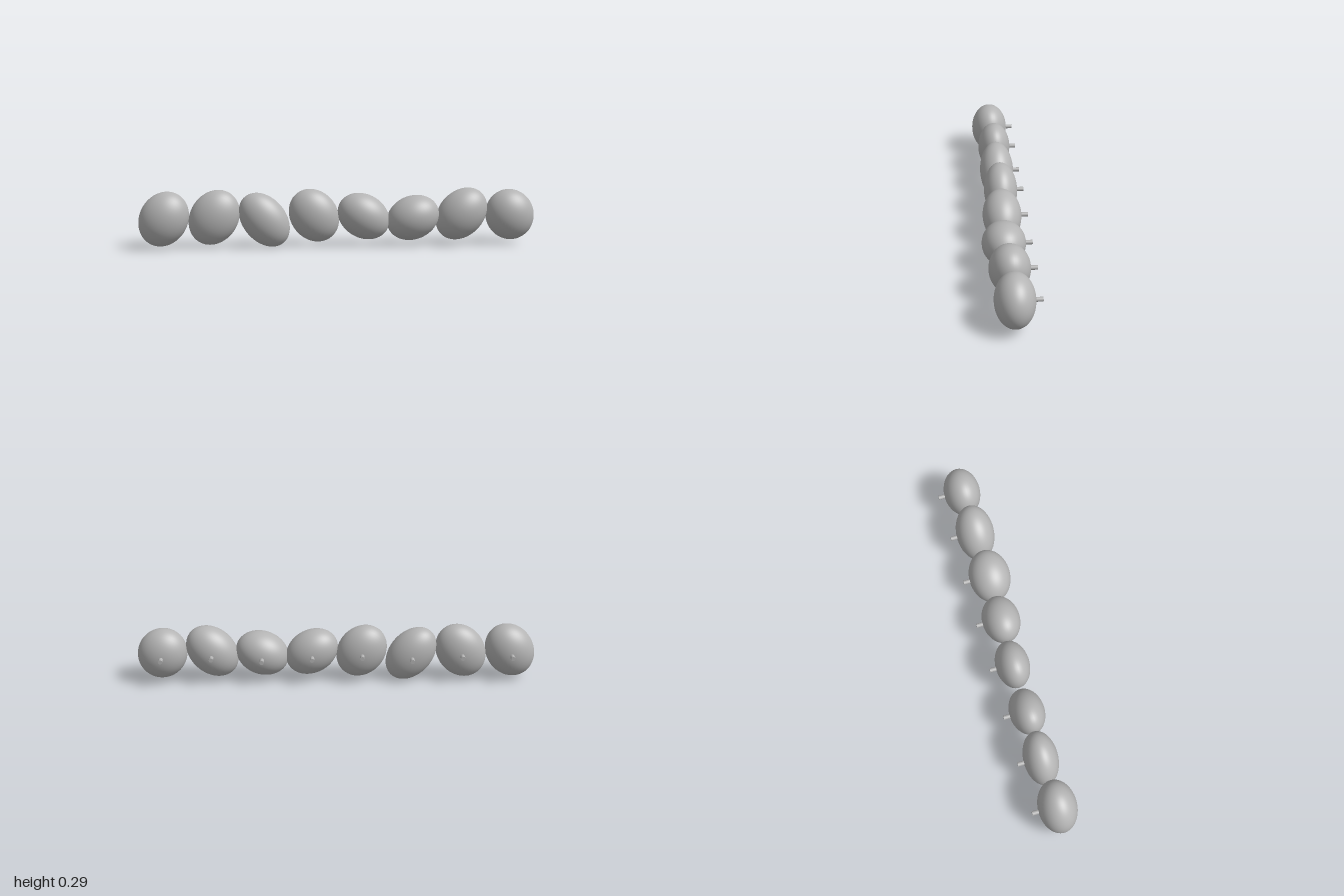
import * as THREE from 'three';

// Each pebble: long radius, short radius, tilt in degrees, centre height, front z
const PEBBLES = [
  [0.142, 0.12, 61, 0.15, 0.1],
  [0.145, 0.12, 57, 0.154, 0.08],
  [0.152, 0.109, -51, 0.139, 0.085],
  [0.141, 0.119, -54, 0.158, 0.08],
  [0.138, 0.11, -31, 0.152, 0.102],
  [0.136, 0.11, 23, 0.143, 0.122],
  [0.147, 0.114, 46, 0.159, 0.106],
  [0.13, 0.123, -67, 0.152, 0.099],
];
const BACK = -0.09;      // all pebbles share this back plane
const PEG_END = -0.122;
const SPACING = 0.25;

export function createModel() {
  const model = new THREE.Group();
  model.name = 'pebbleRail';
  const grey = new THREE.MeshStandardMaterial({ color: 0xb4b4b4 });
  grey.name = 'stoneGrey';

  const ball = new THREE.SphereGeometry(1, 48, 32);
  const pegStart = BACK + 0.02; // sunk into the pebble
  const pegGeometry = new THREE.CylinderGeometry(0.011, 0.011, pegStart - PEG_END, 16);
  pegGeometry.rotateX(Math.PI / 2);

  PEBBLES.forEach(([long, short, tilt, y, front], i) => {
    const unit = new THREE.Group();
    unit.name = `hook${i + 1}`;
    unit.position.set((i - 3.5) * SPACING, y, 0);

    // Tilted, flattened pebble
    const pebble = new THREE.Mesh(ball, grey);
    pebble.name = 'pebble';
    pebble.scale.set(long, short, (front - BACK) / 2);
    pebble.rotation.z = THREE.MathUtils.degToRad(tilt);
    pebble.position.z = (front + BACK) / 2;

    // Mounting peg at the back
    const peg = new THREE.Mesh(pegGeometry, grey);
    peg.name = 'mountingPeg';
    peg.position.z = (pegStart + PEG_END) / 2;

    unit.add(pebble, peg);
    model.add(unit);
  });
  return model;
}
